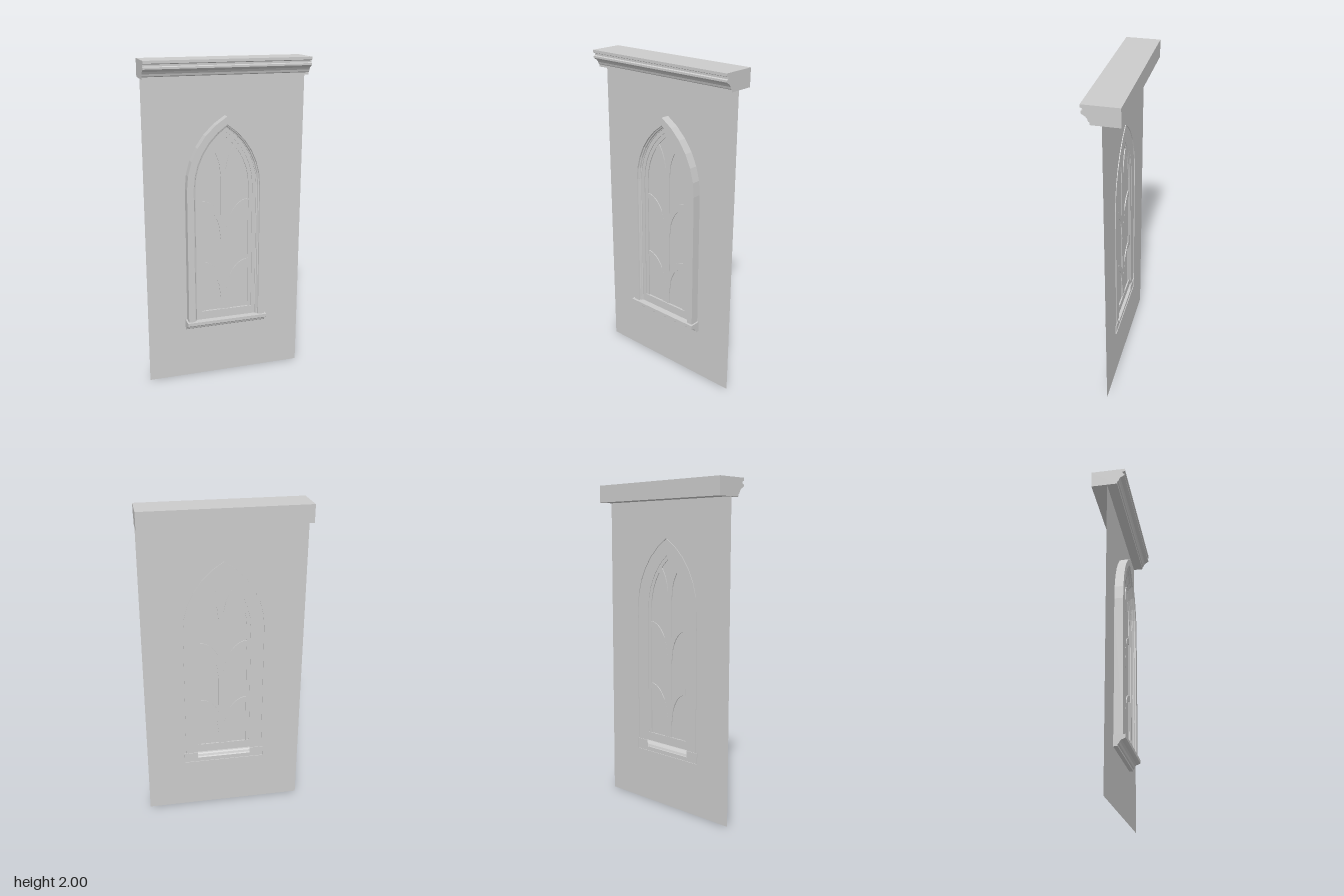
import * as THREE from 'three';

const mat = new THREE.MeshStandardMaterial({ color: 0xcccccc, flatShading: true, side: THREE.DoubleSide });
const SPRING = 1.245, CX = -0.242; // springing height and arc centre of the pointed arch

// Pointed arch outline from bottom right, over the apex, to bottom left
function archPoints(halfWidth, bottom, segs = 6) {
  const r = halfWidth - CX, end = Math.acos(-CX / r);
  const right = [new THREE.Vector2(halfWidth, bottom)];
  for (let i = 0; i <= segs; i++) {
    const a = (end * i) / segs;
    right.push(new THREE.Vector2(CX + r * Math.cos(a), SPRING + r * Math.sin(a)));
  }
  const left = right.slice(0, -1).reverse().map(p => new THREE.Vector2(-p.x, p.y));
  return [...right, ...left];
}

function mesh(name, geometry) {
  const m = new THREE.Mesh(geometry, mat);
  m.name = name;
  return m;
}

function slab(name, shape, z0, z1) {
  const g = new THREE.ExtrudeGeometry(shape, { depth: z1 - z0, bevelEnabled: false, curveSegments: 10 });
  return mesh(name, g.translate(0, 0, z0));
}

// Arched plate with an arched opening
function archRing(outer, bottom, inner, innerBottom) {
  const s = new THREE.Shape(archPoints(outer, bottom));
  s.holes.push(new THREE.Path(archPoints(inner, innerBottom)));
  return s;
}

// Sweep a [halfWidth, z] profile around the arch
function archMoulding(name, profile, bottom) {
  const rows = profile.map(([w, z]) => archPoints(w, bottom).map(p => [p.x, p.y, z]));
  const pos = [];
  for (let i = 0; i < rows.length - 1; i++) {
    for (let j = 0; j < rows[i].length - 1; j++) {
      const a = rows[i][j], b = rows[i][j + 1], c = rows[i + 1][j + 1], d = rows[i + 1][j];
      pos.push(...a, ...b, ...c, ...a, ...c, ...d);
    }
  }
  const g = new THREE.BufferGeometry();
  g.setAttribute('position', new THREE.Float32BufferAttribute(pos, 3));
  g.computeVertexNormals();
  return mesh(name, g);
}

// Horizontal moulding with a [z, y] profile, running along x
function runMoulding(name, profile, width) {
  const s = new THREE.Shape(profile.map(([z, y]) => new THREE.Vector2(-z, y)));
  const g = new THREE.ExtrudeGeometry(s, { depth: width, bevelEnabled: false });
  g.translate(0, 0, -width / 2).rotateY(Math.PI / 2);
  return mesh(name, g);
}

// Open-backed moulding: front strips and two end caps
function hollowMoulding(name, profile, width) {
  const group = new THREE.Group();
  group.name = name;
  const pos = [], h = width / 2;
  for (let i = 0; i < profile.length - 1; i++) {
    const [z0, y0] = profile[i], [z1, y1] = profile[i + 1];
    pos.push(-h, y0, z0, -h, y1, z1, h, y1, z1, -h, y0, z0, h, y1, z1, h, y0, z0);
  }
  const g = new THREE.BufferGeometry();
  g.setAttribute('position', new THREE.Float32BufferAttribute(pos, 3));
  g.computeVertexNormals();
  group.add(mesh(name + 'Front', g));
  const cap = new THREE.Shape(profile.map(([z, y]) => new THREE.Vector2(-z, y)));
  for (const x of [-h, h]) {
    group.add(mesh(name + 'End', new THREE.ShapeGeometry(cap).rotateY(Math.PI / 2).translate(x, 0, 0)));
  }
  return group;
}

// Curved bar rising from the mullion to the side of the window
function branchShape(side, top, reach) {
  const cx = 0.147, cy = top - 0.25, n = 10;
  const arc = (rx, ry, from, to) => Array.from({ length: n + 1 }, (_, i) => {
    const x = from + ((to - from) * i) / n;
    const t = (cx - x) / rx;
    return new THREE.Vector2(side * x, cy + ry * Math.sqrt(Math.max(0, 1 - t * t)));
  });
  return new THREE.Shape([...arc(0.15, 0.25, 0, reach), ...arc(0.117, 0.21, reach, 0.03), new THREE.Vector2(0, cy)]);
}

export function createModel() {
  const model = new THREE.Group();
  model.name = 'wallWithWindow';

  // Thin wall with the window opening
  const wall = new THREE.Shape([[-0.495, 0], [0.495, 0], [0.495, 1.9], [-0.495, 1.9]].map(p => new THREE.Vector2(...p)));
  wall.holes.push(new THREE.Path(archPoints(0.17, 0.35)));
  model.add(mesh('wall', new THREE.ShapeGeometry(wall).translate(0, 0, -0.006)));

  // Cornice
  model.add(runMoulding('cornice', [
    [-0.103, 1.895], [0.056, 1.895], [0.056, 1.908], [0.063, 1.913], [0.067, 1.925], [0.076, 1.938],
    [0.09, 1.946], [0.1, 1.953], [0.1, 1.964], [0.09, 1.968], [0.09, 1.979], [0.103, 1.984], [0.103, 2], [-0.103, 2],
  ], 0.99));

  // Sill
  model.add(hollowMoulding('sill', [
    [-0.0105, 0.392], [0.063, 0.392], [0.063, 0.372], [0.053, 0.366], [0.04, 0.362], [0.03, 0.353],
    [0.025, 0.34], [0.018, 0.335], [0.018, 0.325], [-0.0105, 0.325],
  ], 0.515));

  // Moulded surround
  model.add(archMoulding('surround', [
    [0.247, -0.0105], [0.247, 0.048], [0.207, 0.048], [0.205, 0.038], [0.199, 0.036], [0.196, 0.028],
    [0.19, 0.026], [0.19, 0.004],
  ], 0.39));

  // Sash, inner bead and glass
  model.add(slab('sash', archRing(0.192, 0.39, 0.167, 0.445), 0.002, 0.022));
  model.add(slab('bead', archRing(0.168, 0.44, 0.144, 0.4455), 0.005, 0.017));
  const glass = new THREE.ShapeGeometry(new THREE.Shape(archPoints(0.168, 0.44)));
  model.add(mesh('glass', glass.translate(0, 0, 0.01)));

  // Tracery: central mullion with three tiers of branches
  const tracery = new THREE.Group();
  tracery.name = 'tracery';
  const mullion = new THREE.BoxGeometry(0.06, 0.91, 0.01).translate(0, 0.44 + 0.455, 0.01);
  tracery.add(mesh('mullion', mullion));
  for (const [top, reach] of [[0.77, 0.147], [1.16, 0.147], [1.55, 0.11]]) {
    for (const side of [-1, 1]) tracery.add(slab('branch', branchShape(side, top, reach), 0.0045, 0.0155));
  }
  model.add(tracery);
  return model;
}
